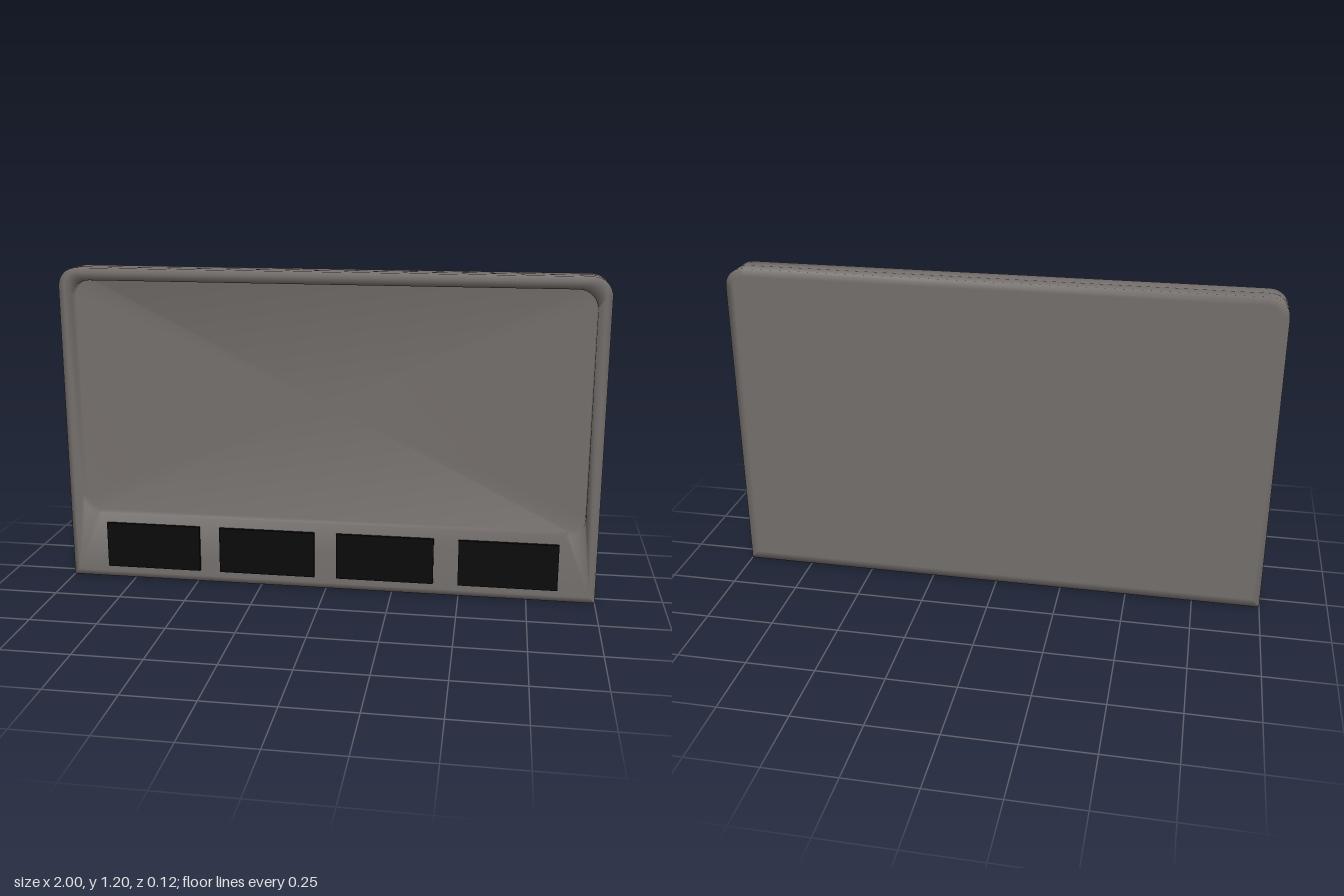
import * as THREE from 'three';

const STEPS = 8; // segments per corner

// Rounded rectangle ring, counter-clockwise seen from the front
function ring(halfW, y0, y1, topR, bottomR, z) {
  const corners = [
    [halfW, y0, bottomR, -Math.PI / 2, 1, 1],
    [halfW, y1, topR, 0, 1, -1],
    [-halfW, y1, topR, Math.PI / 2, -1, -1],
    [-halfW, y0, bottomR, Math.PI, -1, 1],
  ];
  const points = [];
  for (const [x, y, r, start, sx, sy] of corners) {
    for (let i = 0; i <= STEPS; i++) {
      const a = start + (i / STEPS) * Math.PI / 2;
      points.push([x - sx * r + r * Math.cos(a), y + sy * r + r * Math.sin(a), z]);
    }
  }
  return points;
}

// Casing outline, pulled in by an inset
const outline = (inset, z) => ring(1 - inset, inset, 1.2 - inset, 0.07 - inset, 0.002, z);
// Recess outline
const recess = (z) => ring(0.952, 0.257, 1.155, 0.07, 0.07, z);

// Smooth shell through a list of rings, closed by a fan on the last one
function shell(rings, flip) {
  const n = rings[0].length;
  const positions = rings.flat(2);
  const index = [];
  const face = (a, b, c) => (flip ? index.push(a, c, b) : index.push(a, b, c));
  for (let k = 0; k < rings.length - 1; k++) {
    for (let i = 0; i < n; i++) {
      const j = (i + 1) % n;
      const a = k * n + i, b = k * n + j;
      face(a, b, b + n);
      face(a, b + n, a + n);
    }
  }
  const last = rings[rings.length - 1];
  const ys = last.map((p) => p[1]);
  positions.push(0, (Math.min(...ys) + Math.max(...ys)) / 2, last[0][2]);
  const base = (rings.length - 1) * n;
  for (let i = 0; i < n; i++) face(base + i, base + ((i + 1) % n), rings.length * n);

  const geometry = new THREE.BufferGeometry();
  geometry.setAttribute('position', new THREE.Float32BufferAttribute(positions, 3));
  geometry.setIndex(index);
  geometry.computeVertexNormals();
  return geometry;
}

export function createModel() {
  const model = new THREE.Group();
  model.name = 'panel';
  const casing = new THREE.MeshStandardMaterial({ color: 0x75706d });
  casing.name = 'warm grey casing';
  const black = new THREE.MeshStandardMaterial({ color: 0x090909 });
  black.name = 'black pads';

  const add = (geometry, material, name) => {
    const mesh = new THREE.Mesh(geometry, material);
    mesh.name = name;
    model.add(mesh);
    return mesh;
  };

  // Front half of the casing, with a rounded recess down to the seam
  const seam = -0.006;
  add(shell([
    outline(0.004, seam),
    outline(0, seam + 0.004),
    outline(0, 0.047),
    outline(0.02, 0.047),
    recess(0.047),
    recess(-0.002),
  ], false), casing, 'frontShell');

  // Back half of the casing, meeting the front in a fine groove
  add(shell([
    outline(0.004, seam),
    outline(0, seam - 0.004),
    outline(0, -0.06),
    outline(0.03, -0.06),
  ], true), casing, 'backShell');

  // Row of four pads along the lower edge
  const padGeometry = new THREE.BoxGeometry(0.366, 0.176, 0.02);
  for (const x of [-0.672, -0.228, 0.222, 0.68]) {
    add(padGeometry, black, 'pad').position.set(x, 0.133, 0.05);
  }
  return model;
}
